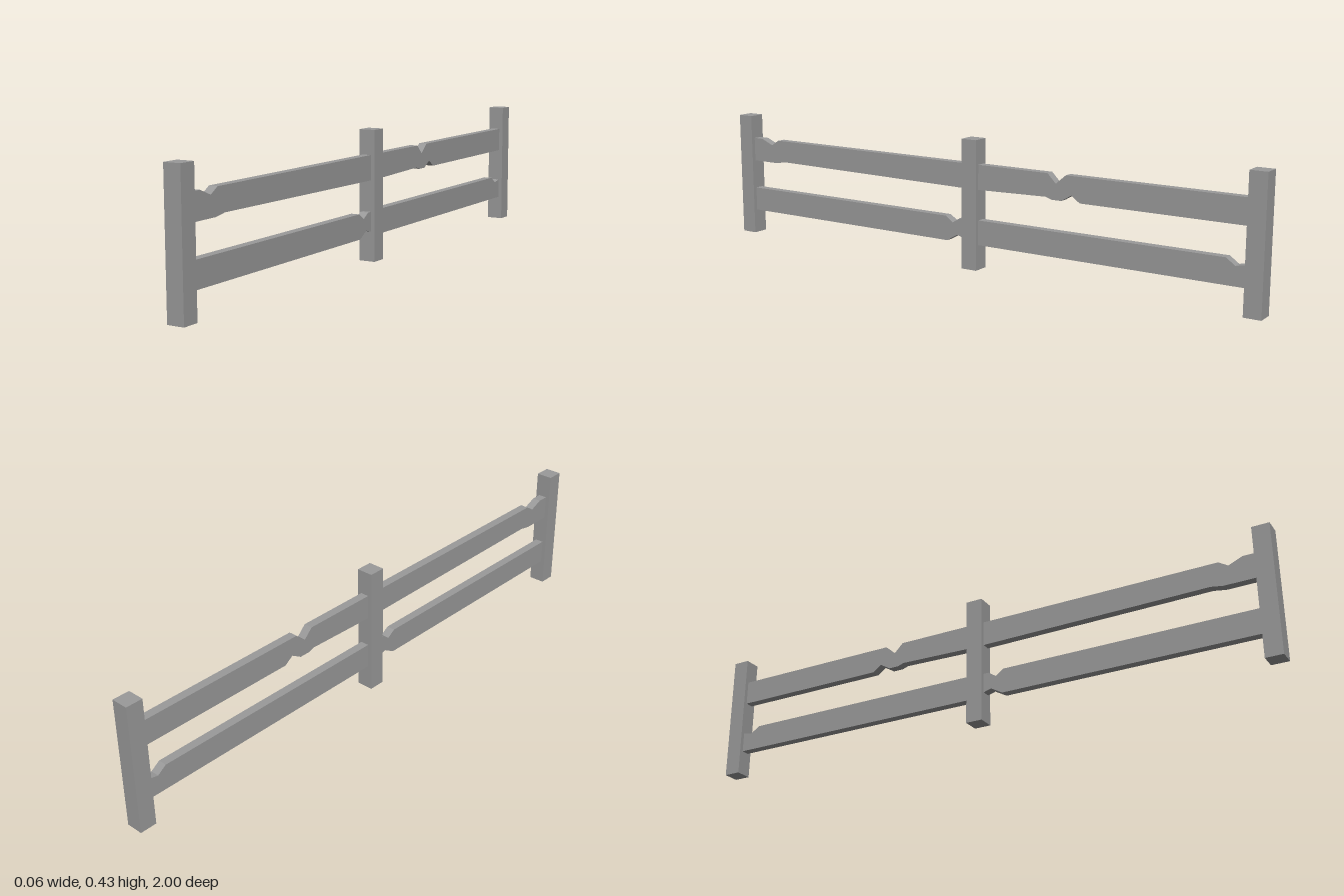
import * as THREE from 'three';

const material = new THREE.MeshStandardMaterial({ color: 0x9a9a9a, flatShading: true });
const POST = 0.056, HEIGHT = 0.428, THICKNESS = 0.029;

// Outlines as [z, y] running from the +z end to the -z end; the notches are chipped wood.
const RAILS = [
  { name: 'upperFrontRail',
    top: [[0.955, 0.347], [0.905, 0.347], [0.86, 0.328], [0.83, 0.347], [0.02, 0.347]],
    bottom: [[0.955, 0.265], [0.84, 0.265], [0.8, 0.272], [0.02, 0.265]] },
  { name: 'upperBackRail',
    top: [[-0.02, 0.347], [-0.285, 0.347], [-0.315, 0.317], [-0.35, 0.347], [-0.955, 0.347]],
    bottom: [[-0.02, 0.265], [-0.28, 0.272], [-0.3, 0.265], [-0.335, 0.265], [-0.37, 0.286], [-0.4, 0.265], [-0.955, 0.265]] },
  { name: 'lowerFrontRail',
    top: [[0.955, 0.165], [0.1, 0.165], [0.072, 0.146], [0.045, 0.163], [0.02, 0.163]],
    bottom: [[0.955, 0.083], [0.095, 0.083], [0.055, 0.106], [0.02, 0.096]] },
  { name: 'lowerBackRail',
    top: [[-0.02, 0.165], [-0.88, 0.165], [-0.91, 0.144], [-0.955, 0.153]],
    bottom: [[-0.02, 0.083], [-0.955, 0.083]] },
];

function makeRail({ name, top, bottom }) {
  const outline = [...bottom, ...[...top].reverse()].map(([z, y]) => new THREE.Vector2(-z, y));
  const geometry = new THREE.ExtrudeGeometry(new THREE.Shape(outline), { depth: THICKNESS, bevelEnabled: false });
  geometry.translate(0, 0, -THICKNESS / 2).rotateY(Math.PI / 2);
  const rail = new THREE.Mesh(geometry, material);
  rail.name = name;
  return rail;
}

function makePost(name, z) {
  const post = new THREE.Mesh(new THREE.BoxGeometry(POST, HEIGHT, POST), material);
  post.position.set(0, HEIGHT / 2, z);
  post.name = name;
  return post;
}

export function createModel() {
  const fence = new THREE.Group();
  fence.name = 'fence';
  // Three square posts
  fence.add(
    makePost('frontPost', 1 - POST / 2),
    makePost('middlePost', 0),
    makePost('backPost', POST / 2 - 1),
  );
  // Two chipped rails in each bay
  for (const rail of RAILS) fence.add(makeRail(rail));
  return fence;
}
